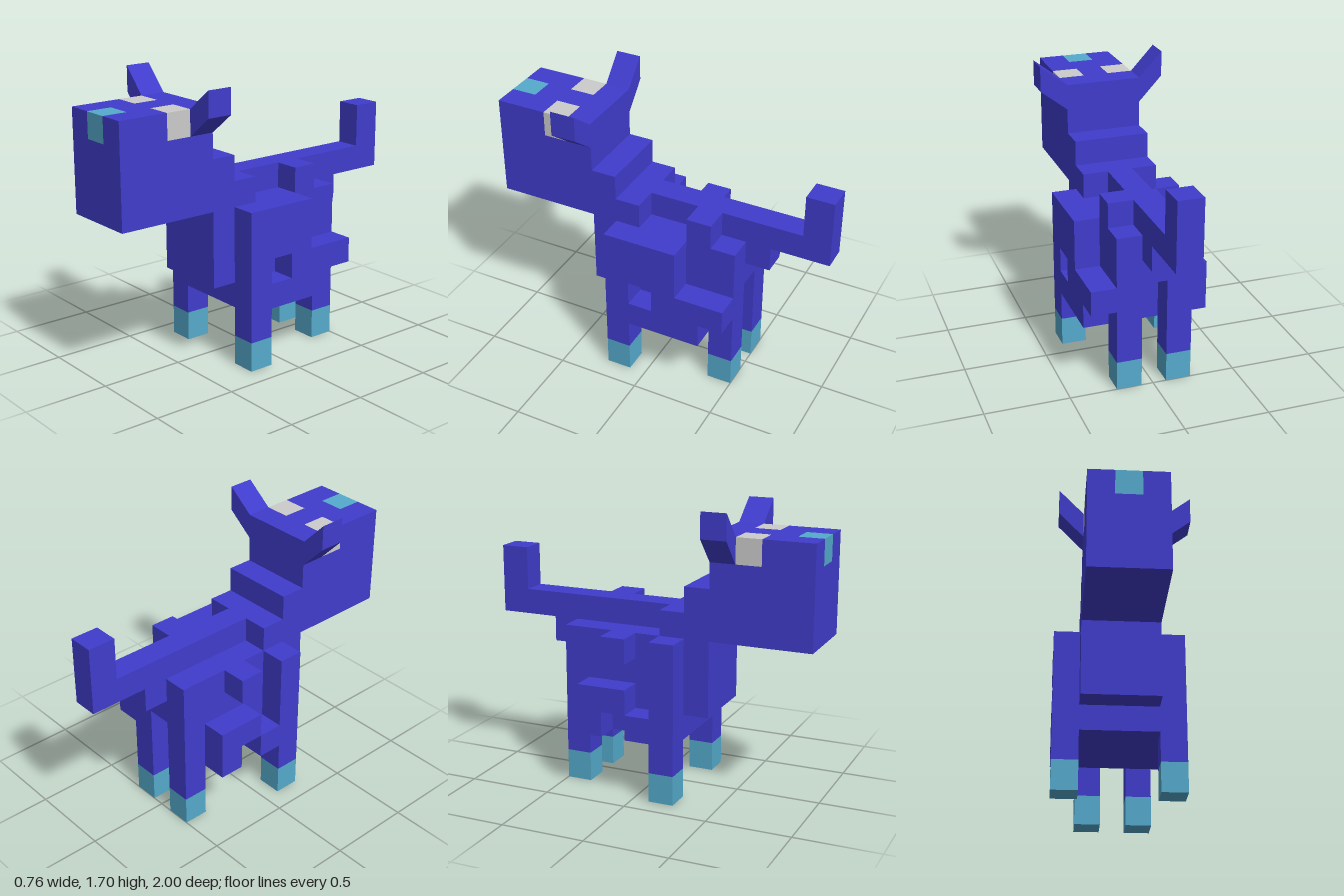
import * as THREE from 'three';

const blue = new THREE.MeshStandardMaterial({ color: 0x403ccc, flatShading: true });
const teal = new THREE.MeshStandardMaterial({ color: 0x55aacc, flatShading: true });
const grey = new THREE.MeshStandardMaterial({ color: 0xcccccc, flatShading: true });

// Block boundaries across the model, from its right side to its left
const X = [-0.38, -0.23, -0.08, 0.07, 0.22, 0.37];

// Box between two column indices, a height range and a depth range
function block(parent, name, [i0, i1], [y0, y1], [z0, z1], material = blue) {
  const geometry = new THREE.BoxGeometry(X[i1] - X[i0], y1 - y0, z1 - z0);
  const mesh = new THREE.Mesh(geometry, material);
  mesh.position.set((X[i0] + X[i1]) / 2, (y0 + y1) / 2, (z0 + z1) / 2);
  mesh.name = name;
  parent.add(mesh);
  return mesh;
}

// Box sheared upwards so that its outer end is raised
function horn(parent, name, side, inner, outer, lift) {
  const width = Math.abs(outer - inner);
  const geometry = new THREE.BoxGeometry(width, 0.15, 0.15);
  const p = geometry.attributes.position;
  for (let i = 0; i < p.count; i++) {
    if (p.getX(i) * side > 0) p.setY(i, p.getY(i) + lift);
  }
  geometry.computeVertexNormals();
  const mesh = new THREE.Mesh(geometry, blue);
  mesh.position.set((inner + outer) / 2, 1.475, 0.475);
  mesh.name = name;
  parent.add(mesh);
}

function part(parent, name) {
  const group = new THREE.Group();
  group.name = name;
  parent.add(group);
  return group;
}

export function createModel() {
  const model = new THREE.Group();
  model.name = 'blockAnimal';

  // Head, with eyes and nose set flush into the top layer
  const head = part(model, 'head');
  block(head, 'face', [1, 4], [0.95, 1.4], [0.4, 1]);
  const top = [1.4, 1.55];
  block(head, 'crown', [1, 4], top, [0.4, 0.55]);
  block(head, 'rightEye', [1, 2], top, [0.55, 0.7], grey);
  block(head, 'browMiddle', [2, 3], top, [0.55, 0.7]);
  block(head, 'leftEye', [3, 4], top, [0.55, 0.7], grey);
  block(head, 'brow', [1, 4], top, [0.7, 0.85]);
  block(head, 'rightMuzzle', [1, 2], top, [0.85, 1]);
  block(head, 'nose', [2, 3], top, [0.85, 1], teal);
  block(head, 'leftMuzzle', [3, 4], top, [0.85, 1]);
  horn(head, 'leftHorn', 1, 0.22, 0.38, 0.125);
  horn(head, 'rightHorn', -1, -0.23, -0.37, 0.15);

  // Neck, chest and trunk
  const body = part(model, 'body');
  block(body, 'neck', [1, 4], [0.95, 1.25], [0.25, 0.4]);
  block(body, 'chest', [1, 4], [0.5, 0.95], [0.25, 0.4]);
  block(body, 'trunk', [1, 4], [0.35, 0.95], [-0.35, 0.25]);
  block(body, 'rump', [2, 3], [0.65, 0.95], [-0.5, -0.35]);
  block(body, 'shoulders', [1, 4], [0.95, 1.1], [0.1, 0.25]);
  block(body, 'spine', [2, 3], [0.95, 1.1], [-0.5, 0.1]);
  block(body, 'backBump', [3, 4], [0.95, 1.1], [-0.35, -0.2]);

  // Left flank, with a square recess
  const left = part(body, 'leftFlank');
  block(left, 'flankTop', [4, 5], [0.65, 0.95], [-0.2, 0.1]);
  block(left, 'flankMiddle', [4, 5], [0.5, 0.65], [-0.5, -0.05]);
  block(left, 'flankBottom', [4, 5], [0.35, 0.5], [-0.35, 0.1]);

  // Right flank, made of separate stepped blocks
  const right = part(body, 'rightFlank');
  block(right, 'flankTop', [0, 1], [0.8, 0.95], [-0.2, -0.05]);
  block(right, 'flankMiddle', [0, 1], [0.5, 0.65], [-0.35, -0.05]);
  block(right, 'flankRear', [0, 1], [0.35, 0.5], [-0.35, -0.2]);
  block(right, 'flankFront', [0, 1], [0.35, 0.5], [-0.05, 0.1]);

  // Legs and feet: front pair outside the trunk, hind pair further in
  const legs = [
    ['rightFront', 0, [0.1, 0.25]], ['leftFront', 4, [0.1, 0.25]],
    ['rightHind', 1, [-0.5, -0.35]], ['leftHind', 3, [-0.5, -0.35]],
  ];
  for (const [name, i, z] of legs) {
    block(model, name + 'Leg', [i, i + 1], [0.175, 0.95], z);
    block(model, name + 'Foot', [i, i + 1], [0, 0.175], z, teal);
  }

  // Tail with an upright tip
  const tail = part(model, 'tail');
  block(tail, 'tailBase', [2, 3], [0.8, 0.95], [-0.65, -0.5]);
  block(tail, 'tailBar', [2, 3], [0.95, 1.1], [-0.835, -0.5]);
  block(tail, 'tailTip', [2, 3], [0.95, 1.355], [-1, -0.835]);

  return model;
}
